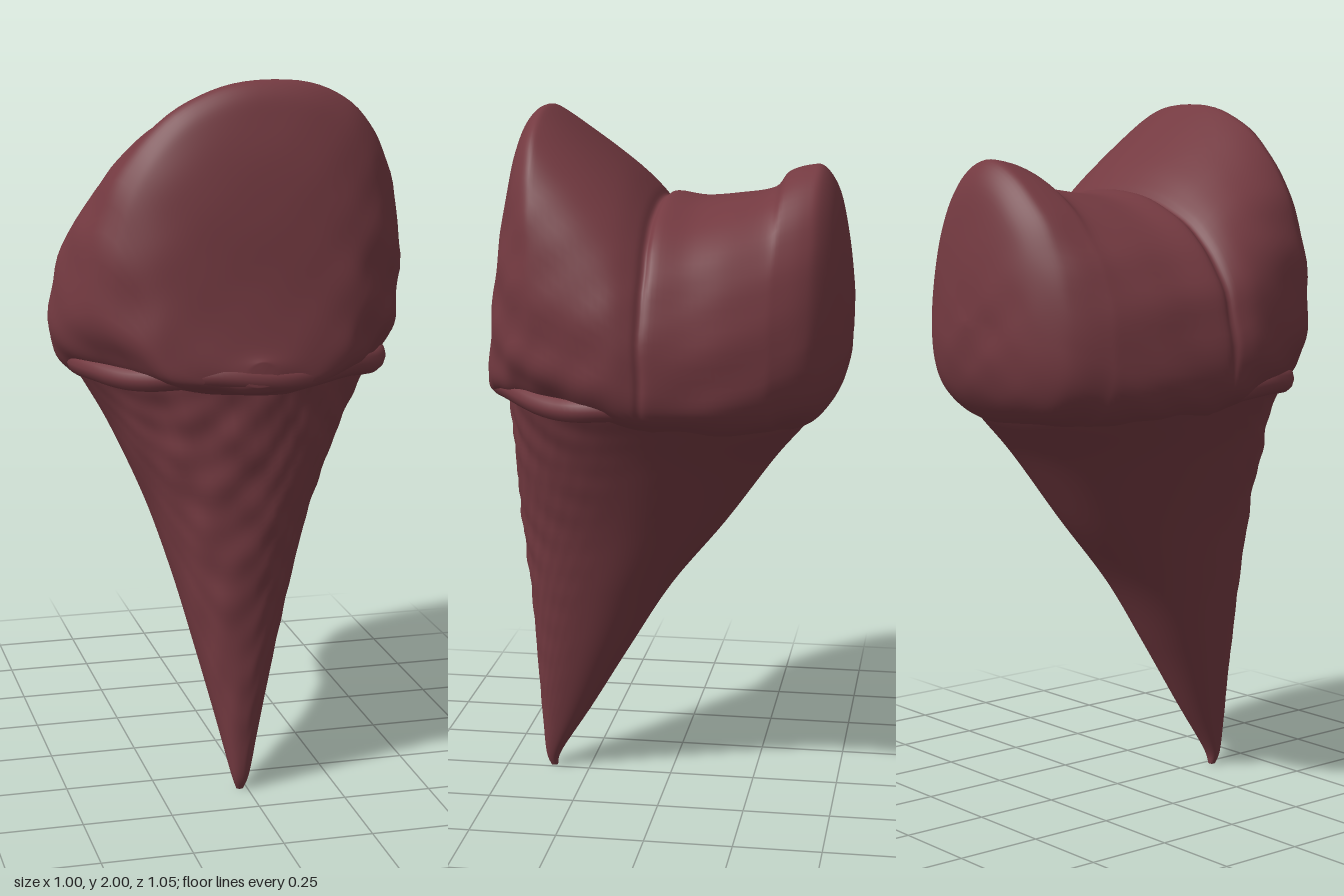
import * as THREE from 'three';

const cream = new THREE.MeshStandardMaterial({ color: 0x743a41 });
cream.name = 'dark berry';

// Smoothly samples a table of cross-section rows, several steps per row
function resample(rows, steps) {
  const out = [], at = (i) => rows[Math.min(Math.max(i, 0), rows.length - 1)];
  for (let i = 0; i < rows.length - 1; i++) {
    for (let s = 0; s < steps; s++) {
      const t = s / steps;
      out.push(rows[i].map((b, k) => {
        const a = at(i - 1)[k], c = at(i + 1)[k], d = at(i + 2)[k];
        return b + 0.5 * t * (c - a + t * (2 * a - 5 * b + 4 * c - d + t * (3 * (b - c) + d - a)));
      }));
    }
  }
  out.push(rows[rows.length - 1]);
  return out;
}

// Closed skin over rings of points, capped at both ends
function loft(rings) {
  const n = rings[0].length, last = (rings.length - 1) * n;
  const pts = rings.flat(), index = [];
  for (let i = 0; i < rings.length - 1; i++) {
    for (let j = 0; j < n; j++) {
      const k = (j + 1) % n, a = i * n + j, b = i * n + k;
      index.push(a, a + n, b, b, a + n, b + n);
    }
  }
  const centre = (ring) => ring.reduce((v, p) => v.add(p), new THREE.Vector3()).divideScalar(n);
  pts.push(centre(rings[0]), centre(rings[rings.length - 1]));
  for (let j = 0; j < n; j++) {
    const k = (j + 1) % n;
    index.push(pts.length - 2, j, k, pts.length - 1, last + k, last + j);
  }
  const g = new THREE.BufferGeometry().setFromPoints(pts);
  g.setIndex(index);
  g.computeVertexNormals();
  return g;
}

// Gentle lumps that roughen a surface
const lumps = (x, y, z) =>
  Math.sin(17 * x + 9 * y + 3) * Math.sin(21 * y - 8 * z) * 0.6 +
  Math.sin(33 * x - 14 * z) * Math.sin(37 * y + 19 * z + 1) * 0.4;

// Squares off a sine or cosine; 2 leaves it round
const power = (v, p) => Math.sign(v) * Math.pow(Math.abs(v), 2 / p);

function part(name, geometry) {
  const mesh = new THREE.Mesh(geometry, cream);
  mesh.name = name;
  return mesh;
}

export function createModel() {
  const model = new THREE.Group();
  model.name = 'iceCreamCone';

  // Leaning cone: height, front z, back z, half width
  const coneRows = resample([
    [0, 0.37, 0.35, 0.01], [0.05, 0.385, 0.335, 0.027], [0.2, 0.395, 0.24, 0.062],
    [0.4, 0.405, 0.12, 0.112], [0.6, 0.42, -0.005, 0.165], [0.8, 0.435, -0.165, 0.228],
    [1.0, 0.45, -0.31, 0.315], [1.12, 0.457, -0.41, 0.38], [1.2, 0.465, -0.46, 0.43],
  ], 10);
  const coneRings = coneRows.map(([y, front, back, w]) => {
    const ring = [], cx = -0.02 * (1 - y / 1.2);
    for (let j = 0; j < 96; j++) {
      const t = (j / 96) * Math.PI * 2, c = Math.cos(t), s = Math.sin(t);
      const p = s > 0 ? 2.3 : 2.15;
      // worn wafer texture on the front half only
      const wafer = Math.max(s, 0) * Math.min(y, 1) * 0.009 * lumps(c * w * 2, y * 1.3, s);
      ring.push(new THREE.Vector3(
        cx + power(c, p) * (w + wafer), y,
        (front + back) / 2 + power(s, p) * ((front - back) / 2 + wafer)));
    }
    return ring;
  });
  model.add(part('cone', loft(coneRings)));

  // Scoop, front to back: z, half width, top, bottom, squareness of the top
  const scoopRows = resample([
    [0.515, 0.04, 1.27, 1.21, 2], [0.5, 0.14, 1.31, 1.19, 2], [0.475, 0.24, 1.46, 1.18, 2.1],
    [0.455, 0.29, 1.64, 1.17, 2.25], [0.43, 0.33, 1.79, 1.165, 2.3], [0.40, 0.37, 1.9, 1.16, 2.35],
    [0.375, 0.395, 1.965, 1.155, 2.35], [0.34, 0.425, 1.998, 1.15, 2.35], [0.3, 0.447, 1.983, 1.145, 2.3],
    [0.2, 0.479, 1.91, 1.12, 2.25], [0.1, 0.497, 1.83, 1.1, 2.2], [0.04, 0.491, 1.77, 1.09, 2.2],
    [0.015, 0.48, 1.74, 1.085, 2.2], [-0.015, 0.48, 1.755, 1.08, 2.2], [-0.1, 0.46, 1.745, 1.08, 2.2],
    [-0.2, 0.433, 1.755, 1.08, 2.2], [-0.3, 0.395, 1.775, 1.09, 2.1], [-0.34, 0.375, 1.82, 1.1, 1.9],
    [-0.4, 0.338, 1.84, 1.115, 1.85], [-0.44, 0.3, 1.835, 1.14, 1.85], [-0.48, 0.235, 1.77, 1.19, 1.9],
    [-0.505, 0.165, 1.65, 1.25, 2], [-0.52, 0.09, 1.54, 1.32, 2], [-0.525, 0.02, 1.44, 1.39, 2],
  ], 5);
  const scoopRings = scoopRows.map(([z, w, top, bottom, square]) => {
    const ring = [], mid = bottom + (top - bottom) * 0.33;
    for (let j = 0; j < 96; j++) {
      const t = (j / 96) * Math.PI * 2, c = Math.cos(t), s = Math.sin(t);
      const p = s < 0 ? 2.7 : square;
      const x = w * power(c, p);
      const y = mid + (s < 0 ? mid - bottom : top - mid) * power(s, p);
      // lumpier sides than top, with the crest leaning to one side
      const bump = 0.008 * lumps(x, y, z) * (1 - 0.9 * Math.max(s, 0));
      const lean = 0.2 * Math.max(y - 1.4, 0) ** 2;
      ring.push(new THREE.Vector3(x + lean + c * bump, y + s * bump, z + 0.6 * bump));
    }
    return ring;
  });
  model.add(part('scoop', loft(scoopRings)));

  // Melted lip around the front, fading into the scoop at both ends
  const lipPoints = [];
  for (let j = 0; j <= 24; j++) {
    const t = (j / 24) * Math.PI, s = Math.sin(t), c = Math.cos(t);
    const tuck = 0.05 * (1 - Math.min(s * 3, 1));
    lipPoints.push(new THREE.Vector3(
      (0.445 - tuck) * power(c, 2.1), 1.205 + 0.02 * s + 0.008 * Math.sin(7 * t + 1),
      0.485 * power(s, 2.1)));
  }
  const lipPath = new THREE.CatmullRomCurve3(lipPoints);
  model.add(part('meltedLip', new THREE.TubeGeometry(lipPath, 90, 0.036, 12, false)));

  return model;
}
